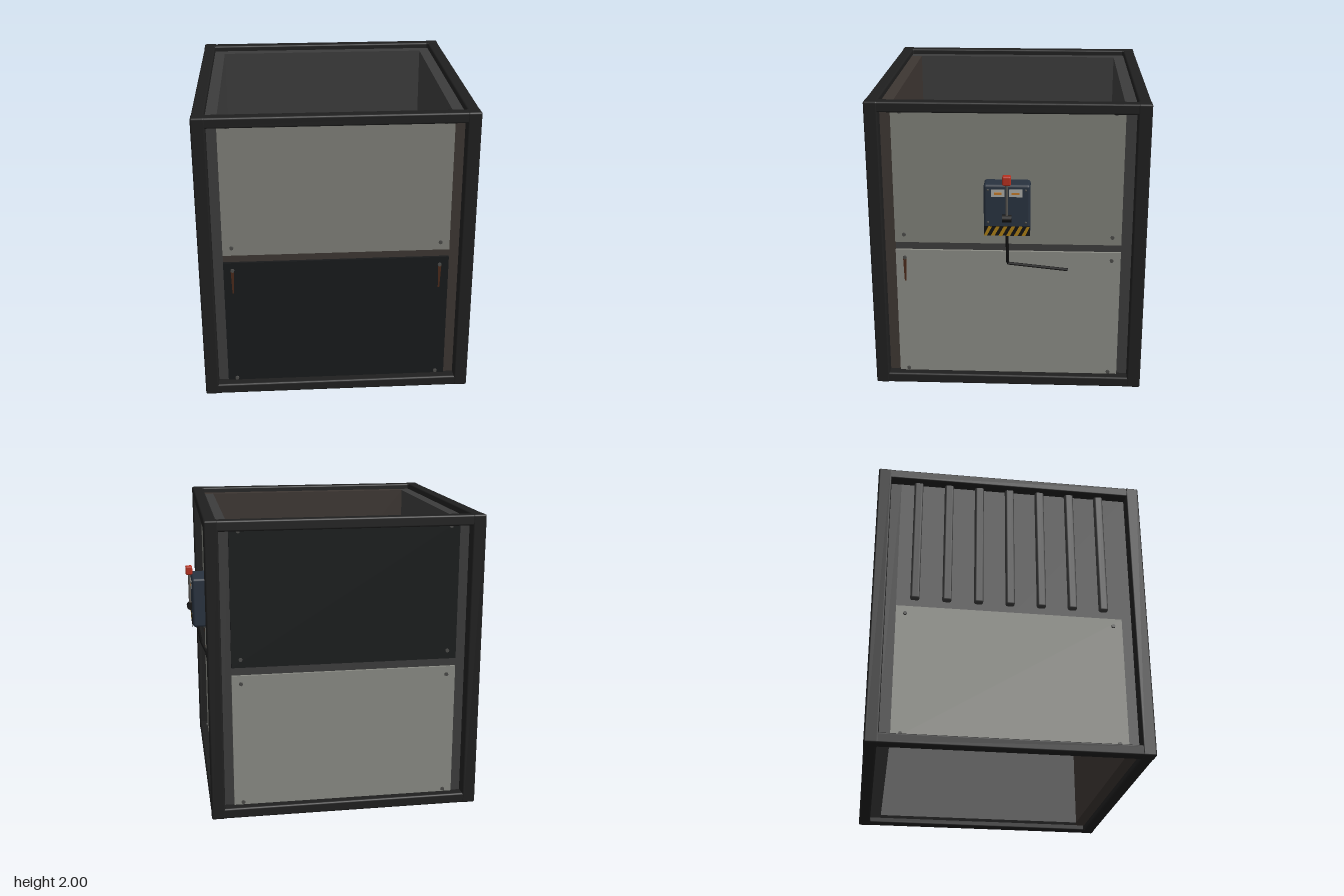
import * as THREE from 'three';
import { RoundedBoxGeometry } from 'three/addons/geometries/RoundedBoxGeometry.js';

const mat = (color, side = THREE.FrontSide) => new THREE.MeshStandardMaterial({ color, side });
const FRAME = mat(0x1f1f1f), WALL = mat(0x3c3c3c), BROWN = mat(0x3d3632), LIGHT = mat(0x7e7f78),
  PALE = mat(0x8a8b84), DARK = mat(0x181a1b), BOLT = mat(0x4a4a48), RUST = mat(0x4a2a1a, THREE.DoubleSide),
  BLACK = mat(0x121212), YELLOW = mat(0xa87c14), NAVY = mat(0x28323f), RED = mat(0xb5301f),
  LABEL = mat(0xaaaaa5), ORANGE = mat(0xc07828), STEEL = mat(0x55524e);

function add(parent, name, geometry, material, x = 0, y = 0, z = 0) {
  const m = new THREE.Mesh(geometry, material);
  m.name = name;
  m.position.set(x, y, z);
  parent.add(m);
  return m;
}
const box = (w, h, d) => new THREE.BoxGeometry(w, h, d);
const rounded = (w, h, d, r = 0.012) => new RoundedBoxGeometry(w, h, d, 2, r);

// Black strip along y with slanted yellow bars, facing +z
function hazardStrip(width, length, count, skew) {
  const g = new THREE.Group();
  g.name = 'hazardStrip';
  add(g, 'stripBase', box(width, length, 0.004), BLACK);
  const step = length / count, half = step / 2, w = width / 2, s = skew / 2;
  const clamp = v => Math.max(-length / 2, Math.min(length / 2, v));
  const bars = [];
  for (let i = 0; i < count; i++) {
    const y = -length / 2 + (i + 0.25) * step;
    bars.push(new THREE.Shape([[-w, y - s], [w, y + s], [w, y + half + s], [-w, y + half - s]]
      .map(([a, b]) => new THREE.Vector2(a, clamp(b)))));
  }
  add(g, 'stripBars', new THREE.ShapeGeometry(bars), YELLOW, 0, 0, 0.004);
  return g;
}

// One side of the crate, facing +z: wall, plates, bolts and rust
function crateSide({ name, angle, wall, upper, lower, streaks }) {
  const g = new THREE.Group();
  g.name = name;
  g.rotation.y = angle;
  add(g, 'innerWall', box(1.58, 1.92, 0.08), wall, 0.04, 1, 0.79);
  const boltShape = new THREE.CylinderGeometry(0.012, 0.014, 0.012, 8).rotateX(Math.PI / 2);
  const plate = (label, material, y0, y1, bolts) => {
    add(g, label, box(1.5, y1 - y0, 0.018), material, 0, (y0 + y1) / 2, 0.839);
    for (const x of [-0.69, 0.69]) for (const y of bolts) add(g, 'bolt', boltShape, BOLT, x, y, 0.852);
  };
  if (upper) plate('upperPanel', upper, 1.03, 1.96, [1.085, 1.922]);
  else for (let i = -3; i <= 3; i++) // corrugated upper half
    add(g, 'corrugationRib', rounded(0.06, 0.92, 0.06, 0.014), WALL, i * 0.21, 1.49, 0.835);
  plate('lowerPanel', lower, 0.04, 0.975, [0.088, 0.92]);
  for (const x of streaks) {
    const s = new THREE.Shape([[-0.012, 0.92], [-0.006, 0.75], [0.004, 0.75], [0.012, 0.92]]
      .map(p => new THREE.Vector2(...p)));
    add(g, 'rustStreak', new THREE.ShapeGeometry(s), RUST, x, 0, 0.85);
  }
  return g;
}

// Lever switch box on the crate's left side, facing +x
function controlBox() {
  const g = new THREE.Group();
  g.name = 'controlBox';
  add(g, 'housing', rounded(0.13, 0.35, 0.3, 0.018), NAVY, 0.85, 1.305, 0);
  const strip = hazardStrip(0.065, 0.298, 6, -0.035);
  strip.rotation.set(0, Math.PI / 2, -Math.PI / 2, 'YXZ');
  strip.position.set(0.917, 1.167, 0);
  g.add(strip);
  for (const s of [-1, 1]) {
    add(g, 'labelPlate', box(0.006, 0.05, 0.085), LABEL, 0.916, 1.425, s * 0.057);
    add(g, 'labelMark', box(0.006, 0.014, 0.05), ORANGE, 0.918, 1.422, s * 0.057);
    for (const y of [1.225, 1.445])
      add(g, 'screw', new THREE.SphereGeometry(0.008, 8, 6), BOLT, 0.914, y, s * 0.122);
  }
  add(g, 'leverPivot', new THREE.CylinderGeometry(0.026, 0.026, 0.06, 12).rotateX(Math.PI / 2), BLACK, 0.925, 1.255, 0);
  add(g, 'lever', new THREE.CylinderGeometry(0.009, 0.009, 0.25, 10), STEEL, 0.927, 1.38, 0);
  add(g, 'leverGrip', rounded(0.048, 0.062, 0.056, 0.01), RED, 0.928, 1.515, 0);
  // Cable hanging down and trailing along the panel
  const path = new THREE.CurvePath();
  const pts = [[0.885, 1.14, 0], [0.855, 0.98, 0], [0.82, 0.9, 0], [0.81, 0.855, -0.4]]
    .map(p => new THREE.Vector3(...p));
  for (let i = 0; i < 3; i++) path.add(new THREE.LineCurve3(pts[i], pts[i + 1]));
  add(g, 'cable', new THREE.TubeGeometry(path, 60, 0.01, 8), BLACK);
  return g;
}

// Pair of hinged trap doors inside the crate
function trapDoors() {
  const g = new THREE.Group();
  g.name = 'trapDoors';
  for (const s of [-1, 1]) {
    const m = s < 0 ? BROWN : WALL;
    add(g, 'door', box(0.74, 0.07, 1.47), m, s * 0.375, 0.815, 0);
    add(g, 'hinge', new THREE.CylinderGeometry(0.035, 0.035, 1.47, 16).rotateX(Math.PI / 2), m, s * 0.715, 0.85, 0);
    for (let i = -2; i <= 2; i++)
      add(g, 'doorRib', box(0.7, 0.06, 0.08), FRAME, s * 0.38, 0.75, i * 0.27);
    const strip = hazardStrip(0.08, 1.46, 16, s * 0.05);
    strip.rotation.x = -Math.PI / 2;
    strip.position.set(s * 0.047, 0.853, 0);
    g.add(strip);
  }
  return g;
}

export function createModel() {
  const model = new THREE.Group();
  model.name = 'crateWithSwitch';
  const crate = new THREE.Group();
  crate.name = 'crate';
  crate.position.x = -0.05;
  model.add(crate);

  // Outer frame: corner posts with top and bottom beams
  for (const sx of [-1, 1]) for (const sz of [-1, 1])
    add(crate, 'cornerPost', rounded(0.09, 2, 0.09), FRAME, sx * 0.861, 1, sz * 0.865);
  for (const y of [0.036, 1.964]) for (const s of [-1, 1]) {
    add(crate, 'beamAcross', rounded(1.7, 0.07, 0.08), FRAME, 0, y, s * 0.868);
    add(crate, 'beamAlong', rounded(0.08, 0.07, 1.7), FRAME, s * 0.864, y, 0);
  }

  // Four sides
  const q = Math.PI / 2;
  [
    { name: 'frontSide', angle: 0, wall: BROWN, upper: LIGHT, lower: DARK, streaks: [-0.69, 0.69] },
    { name: 'leftSide', angle: q, wall: WALL, upper: LIGHT, lower: PALE, streaks: [-0.69] },
    { name: 'backSide', angle: 2 * q, wall: WALL, upper: DARK, lower: PALE, streaks: [] },
    { name: 'rightSide', angle: 3 * q, wall: WALL, upper: null, lower: PALE, streaks: [] },
  ].forEach(side => crate.add(crateSide(side)));

  crate.add(trapDoors());
  model.add(controlBox());
  return model;
}
